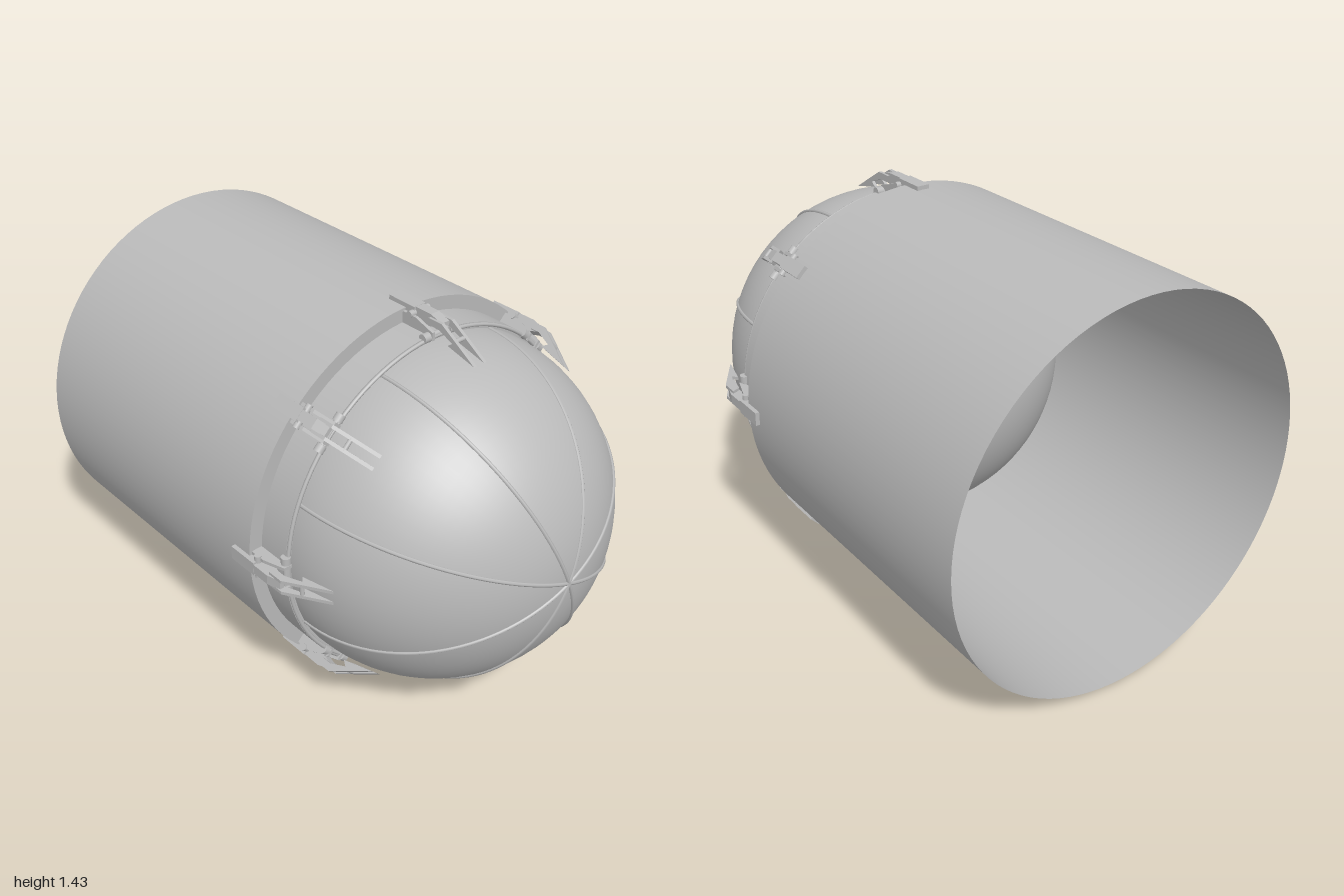
import * as THREE from 'three';

const AXIS_Y = 0.72, DOME_R = 0.63, DOME_Z = 0.37;

export function createModel() {
  const metal = new THREE.MeshStandardMaterial({ color: 0xbababa, side: THREE.DoubleSide });
  metal.name = 'grey metal';

  const model = new THREE.Group();
  model.name = 'domedCylinder';
  const body = new THREE.Group();
  body.name = 'body';
  body.position.y = AXIS_Y;
  model.add(body);

  const add = (parent, name, geometry, x = 0, y = 0, z = 0) => {
    const mesh = new THREE.Mesh(geometry, metal);
    mesh.name = name;
    mesh.position.set(x, y, z);
    parent.add(mesh);
    return mesh;
  };

  // Surface of revolution about the z axis between two (radius, z) points
  const band = (name, r0, z0, r1, z1) => {
    const points = [new THREE.Vector2(r0, z0), new THREE.Vector2(r1, z1)];
    return add(body, name, new THREE.LatheGeometry(points, 96).rotateX(Math.PI / 2));
  };

  // Open tube, stepped collar and rim
  band('tube', 0.70, -1, 0.70, 0.24);
  band('tubeShoulder', 0.70, 0.24, 0.65, 0.24);
  band('collar', 0.65, 0.24, 0.65, 0.365);
  band('collarLip', 0.65, 0.365, 0.615, 0.365);
  add(body, 'rimSeal', new THREE.TorusGeometry(0.643, 0.007, 8, 96), 0, 0, DOME_Z);

  // Ball whose front half forms the dome
  add(body, 'dome', new THREE.SphereGeometry(DOME_R - 0.002, 64, 48).rotateX(Math.PI / 2), 0, 0, DOME_Z);

  // Ribs running from the nose to the rim
  for (let i = 0; i < 8; i++) {
    const rib = new THREE.TorusGeometry(DOME_R - 0.002, 0.007, 6, 32, Math.PI / 2);
    rib.rotateY(-Math.PI / 2).rotateZ(Math.PI / 8 + i * Math.PI / 4);
    add(body, 'domeRib', rib, 0, 0, DOME_Z);
  }

  // Plate cut from a (z, radius) outline, centred across x
  const plate = (points, width) => {
    const shape = new THREE.Shape(points.map(([z, r]) => new THREE.Vector2(z, r)));
    return new THREE.ExtrudeGeometry(shape, { depth: width, bevelEnabled: false })
      .translate(0, 0, -width / 2).rotateY(-Math.PI / 2);
  };
  const pin = (radius, length) => new THREE.CylinderGeometry(radius, radius, length, 16).rotateZ(Math.PI / 2);

  const latchOutline = [[0.22, 0.672], [0.24, 0.714], [0.35, 0.714], [0.40, 0.700], [0.40, 0.685], [0.33, 0.665], [0.30, 0.645], [0.25, 0.645]];
  const prongOutline = [[0.35, 0.705], [0.41, 0.705], [0.47, 0.668], [0.56, 0.612], [0.44, 0.640], [0.46, 0.655], [0.40, 0.680], [0.36, 0.680]];
  const lugOutline = [[0.24, 0.645], [0.24, 0.690], [0.30, 0.690], [0.38, 0.665], [0.38, 0.635], [0.30, 0.645]];

  // One hinged clamp, built at the top of the rim
  const makeClamp = () => {
    const clamp = new THREE.Group();
    clamp.name = 'clamp';
    add(clamp, 'clampFoot', new THREE.BoxGeometry(0.05, 0.035, 0.12), 0, 0.6975, 0.22);
    add(clamp, 'clampLatch', plate(latchOutline, 0.036));
    add(clamp, 'hingePin', pin(0.01, 0.12), 0, 0.648, 0.365);
    add(clamp, 'latchPin', pin(0.012, 0.086), 0, 0.692, 0.275);
    add(clamp, 'prongBar', pin(0.008, 0.044), 0, 0.662, 0.465);
    for (const side of [-1, 1]) {
      add(clamp, 'clampProng', plate(prongOutline, 0.012), side * 0.022, 0, 0);
      add(clamp, 'hingeLug', plate(lugOutline, 0.012), side * 0.032, 0, 0);
      add(clamp, 'hingeRoller', pin(0.017, 0.026), side * 0.056, 0.648, 0.367);
    }
    return clamp;
  };

  // Eight clamps around the rim
  for (let i = 0; i < 8; i++) {
    const clamp = makeClamp();
    clamp.rotation.z = i * Math.PI / 4;
    body.add(clamp);
  }
  return model;
}
